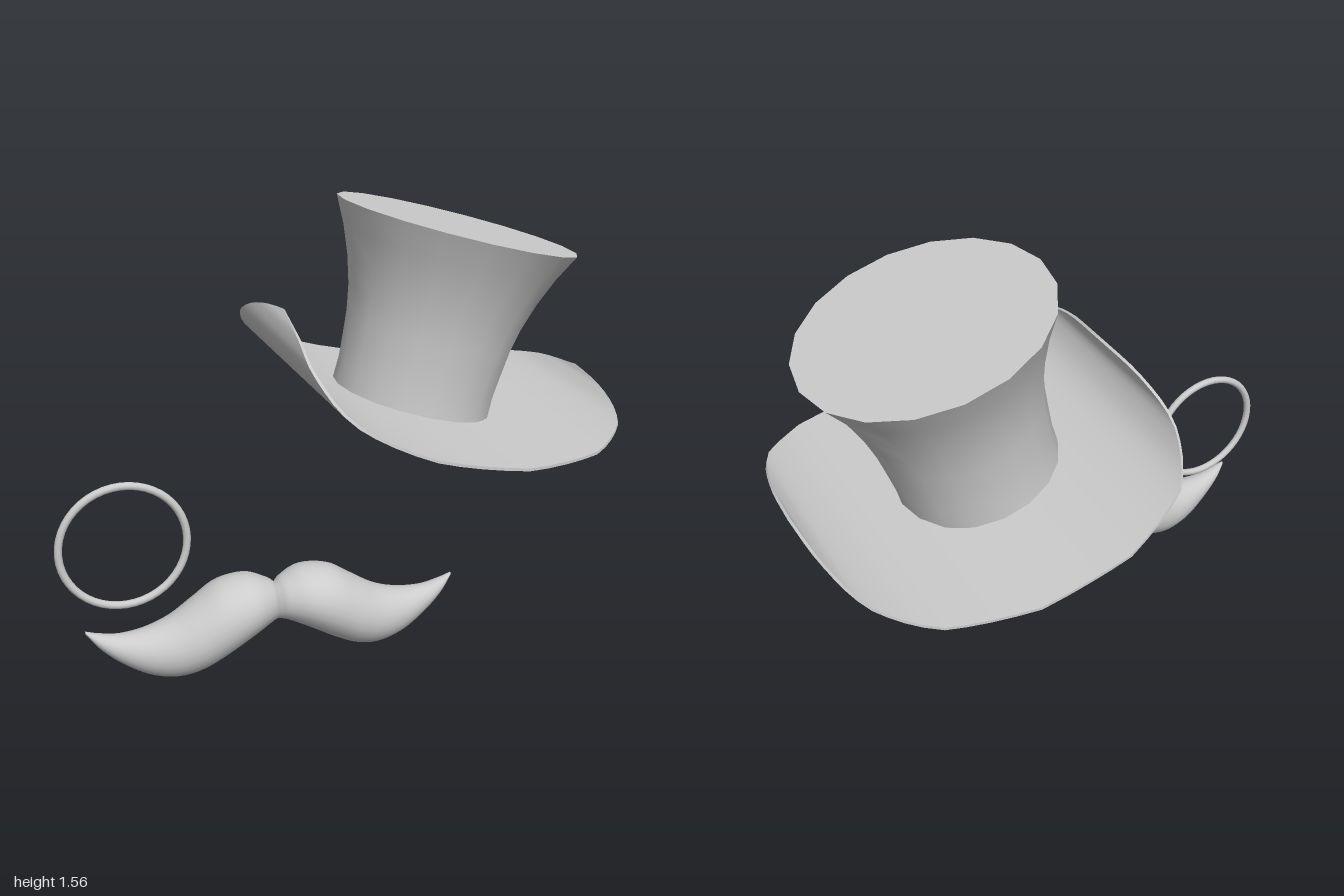
import * as THREE from 'three';
import { toCreasedNormals } from 'three/addons/utils/BufferGeometryUtils.js';

const material = new THREE.MeshStandardMaterial({ color: 0xcccccc });

function part(name, geometry) {
  const mesh = new THREE.Mesh(geometry, material);
  mesh.name = name;
  return mesh;
}

// Skin a row of closed cross-sections that advance along +x
function loft(rings) {
  const n = rings[0].length;
  const index = [];
  for (let i = 0; i < rings.length - 1; i++) {
    for (let j = 0; j < n; j++) {
      const a = i * n + j, b = i * n + (j + 1) % n;
      index.push(a, b, a + n, b, b + n, a + n);
    }
  }
  const geometry = new THREE.BufferGeometry().setFromPoints(rings.flat());
  geometry.setIndex(index);
  geometry.computeVertexNormals();
  return geometry;
}

function spline(points) {
  return new THREE.CatmullRomCurve3(points.map((p) => new THREE.Vector3(...p)), false, 'catmullrom', 0.5);
}

// Flared crown, tilted to one side
function crown() {
  const profile = [[0, 0], [0.29, 0], [0.288, 0.08], [0.294, 0.16], [0.302, 0.25], [0.318, 0.34],
    [0.347, 0.44], [0.386, 0.54], [0.434, 0.635], [0, 0.635]];
  const lathe = new THREE.LatheGeometry(profile.map((p) => new THREE.Vector2(...p)), 18, Math.PI / 2);
  const mesh = part('hatCrown', toCreasedNormals(lathe, 0.7));
  mesh.position.set(0.33, 0.838, 0);
  mesh.rotation.z = -0.256;
  return mesh;
}

// Thin curled brim: x, y along its middle line and half width in z
function brim() {
  const stations = [[-0.145, 1.2, 0], [-0.168, 1.165, 0.24], [-0.172, 1.09, 0.44], [-0.09, 0.975, 0.6],
    [0.14, 0.865, 0.68], [0.46, 0.795, 0.68], [0.75, 0.785, 0.6], [0.915, 0.82, 0.45],
    [0.98, 0.86, 0.24], [1, 0.885, 0]];
  const curve = spline(stations.map(([x, y]) => [x, y, 0]));
  const steps = 4, spans = stations.length - 1, thickness = 0.01;
  const rings = [];
  for (let i = 0; i <= spans * steps; i++) {
    const k = Math.min(Math.floor(i / steps), spans - 1);
    const w = THREE.MathUtils.lerp(stations[k][2], stations[k + 1][2], i / steps - k);
    const t = i / (spans * steps);
    const p = curve.getPoint(t), d = curve.getTangent(t);
    const bx = p.x + d.y * thickness, by = p.y - d.x * thickness;
    rings.push([
      new THREE.Vector3(p.x, p.y, -w), new THREE.Vector3(p.x, p.y, w),
      new THREE.Vector3(bx, by, w), new THREE.Vector3(bx, by, -w),
    ]);
  }
  return part('hatBrim', toCreasedNormals(loft(rings), 0.7));
}

// One half of the moustache: distance from the middle, top, bottom, half depth
function moustacheHalf(name, side) {
  const stations = [[0, 0.285, 0.155, 0.06], [0.03, 0.307, 0.15, 0.088], [0.1, 0.333, 0.115, 0.125],
    [0.2, 0.322, 0.055, 0.135], [0.285, 0.27, 0.015, 0.125], [0.37, 0.218, 0.003, 0.105],
    [0.46, 0.19, 0.025, 0.08], [0.55, 0.185, 0.08, 0.05], [0.62, 0.2, 0.145, 0.028],
    [0.665, 0.217, 0.207, 0.006]];
  const outline = spline(stations.map(([d, top, bottom]) => [d, top, bottom]));
  const depth = spline(stations.map(([d, , , z]) => [d, z, 0]));
  const steps = 40, sides = 24;
  const rings = [];
  for (let i = 0; i <= steps; i++) {
    const { x: d, y: top, z: bottom } = outline.getPoint(i / steps);
    const halfDepth = depth.getPoint(i / steps).y;
    const ring = [];
    for (let j = 0; j < sides; j++) {
      const a = (j / sides) * Math.PI * 2;
      ring.push(new THREE.Vector3(-0.257 + side * d,
        (top + bottom) / 2 + Math.cos(a) * (top - bottom) / 2, 0.22 + Math.sin(a) * halfDepth));
    }
    rings.push(ring);
  }
  // Close the pointed tip
  const tip = rings[steps][0].clone().setY(0.212).setZ(0.22);
  rings.push(Array.from({ length: sides }, () => tip.clone()));
  if (side < 0) rings.reverse();
  return part(name, loft(rings));
}

// Ring of the eyeglass
function monocle() {
  const mesh = part('monocleRing', new THREE.TorusGeometry(0.2165, 0.0135, 10, 48));
  mesh.position.set(-0.77, 0.485, 0.172);
  return mesh;
}

export function createModel() {
  const model = new THREE.Group();
  model.name = 'hatMoustacheAndMonocle';

  const hat = new THREE.Group();
  hat.name = 'topHat';
  hat.add(crown(), brim());

  const moustache = new THREE.Group();
  moustache.name = 'moustache';
  moustache.add(moustacheHalf('moustacheLeft', 1), moustacheHalf('moustacheRight', -1));

  model.add(hat, moustache, monocle());
  return model;
}
